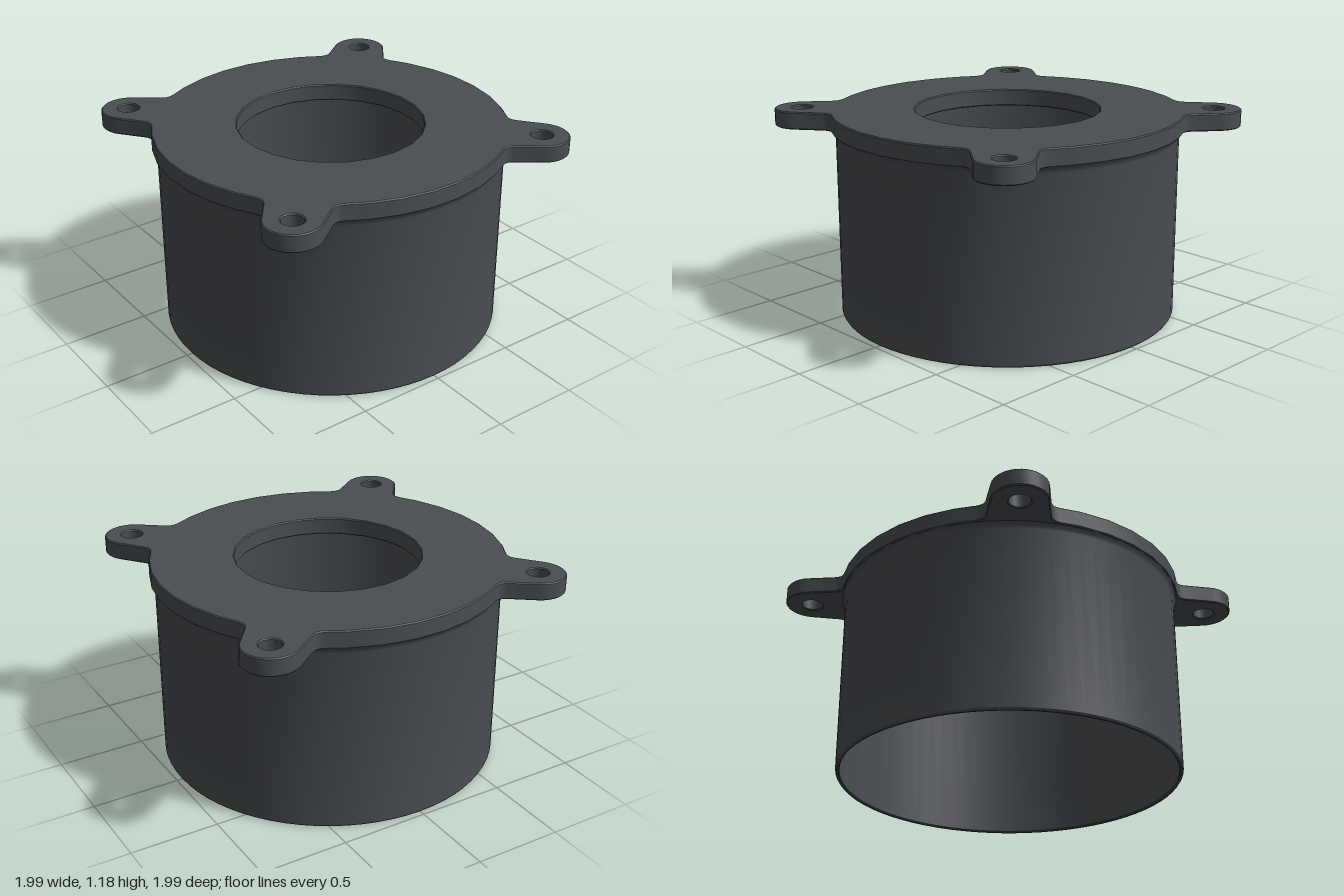
import * as THREE from 'three';
import { toCreasedNormals } from 'three/addons/utils/BufferGeometryUtils.js';

const FLANGE_R = 1.0, BORE_R = 0.527, EAR_POS = 0.828, EAR_R = 0.155, SCREW_R = 0.06;
const FLANGE_BOTTOM = 1.08, FLANGE_TOP = 1.18, BEVEL = 0.006;
const deg = Math.PI / 180;

// Circle of points, used for holes
function circlePath(cx, cy, r, n, offset = 0) {
  const pts = [];
  for (let i = 0; i < n; i++) {
    const a = offset - (i / n) * Math.PI * 2;
    pts.push(new THREE.Vector2(cx + r * Math.cos(a), cy + r * Math.sin(a)));
  }
  return new THREE.Path(pts);
}

// One quarter of the outline, along +x: half of the rim, then an ear on the axis, then the rim again
function quarterOutline() {
  const half = [];
  for (const a of [-40, -30, -20]) half.push([FLANGE_R * Math.cos(a * deg), FLANGE_R * Math.sin(a * deg)]);
  // rim to ear: end of the rim and the concave fillet
  half.push([0.975, -0.222], [0.988, -0.198], [1.003, -0.184], [1.025, -0.175]);
  const reach = EAR_POS * Math.SQRT2;
  for (let a = -84; a <= -12; a += 12) half.push([reach + EAR_R * Math.cos(a * deg), EAR_R * Math.sin(a * deg)]);
  const mirrored = half.map(([u, v]) => [u, -v]).reverse();
  return [...half, [reach + EAR_R, 0], ...mirrored];
}

function flangeGeometry() {
  const outline = [];
  for (let q = 0; q < 4; q++) {
    const a = (45 + q * 90) * deg, c = Math.cos(a), s = Math.sin(a);
    for (const [u, v] of quarterOutline()) outline.push(new THREE.Vector2(u * c - v * s, u * s + v * c));
  }
  const shape = new THREE.Shape(outline);
  shape.holes.push(circlePath(0, 0, BORE_R, 24, 4 * deg));
  for (const sx of [-1, 1]) for (const sy of [-1, 1]) {
    shape.holes.push(circlePath(sx * EAR_POS, sy * EAR_POS, SCREW_R, 20));
  }
  const geo = new THREE.ExtrudeGeometry(shape, {
    depth: FLANGE_TOP - FLANGE_BOTTOM - 2 * BEVEL,
    bevelEnabled: true, bevelSegments: 1, bevelThickness: BEVEL, bevelSize: BEVEL, bevelOffset: -BEVEL,
  });
  geo.rotateX(-Math.PI / 2);
  geo.translate(0, FLANGE_BOTTOM + BEVEL, 0);
  return toCreasedNormals(geo, 32 * deg);
}

function sleeveGeometry() {
  // Inner wall downwards, chamfered lower rim, outer wall upwards, flare under the flange
  const profile = [
    [0.95, 1.085], [0.95, 0.008], [0.956, 0], [0.966, 0], [0.974, 0.012],
    [0.974, 1.045], [0.978, 1.06], [0.986, 1.073], [0.992, 1.083],
  ].map(([r, y]) => new THREE.Vector2(r, y));
  return toCreasedNormals(new THREE.LatheGeometry(profile, 72), 32 * deg);
}

export function createModel() {
  const darkGrey = new THREE.MeshStandardMaterial({ color: 0x4a4e53 });
  darkGrey.name = 'darkGrey';

  const model = new THREE.Group();
  model.name = 'flangedSleeve';
  const add = (name, geometry) => {
    const mesh = new THREE.Mesh(geometry, darkGrey);
    mesh.name = name;
    model.add(mesh);
  };
  add('mountingFlange', flangeGeometry());
  add('sleeve', sleeveGeometry());
  return model;
}
